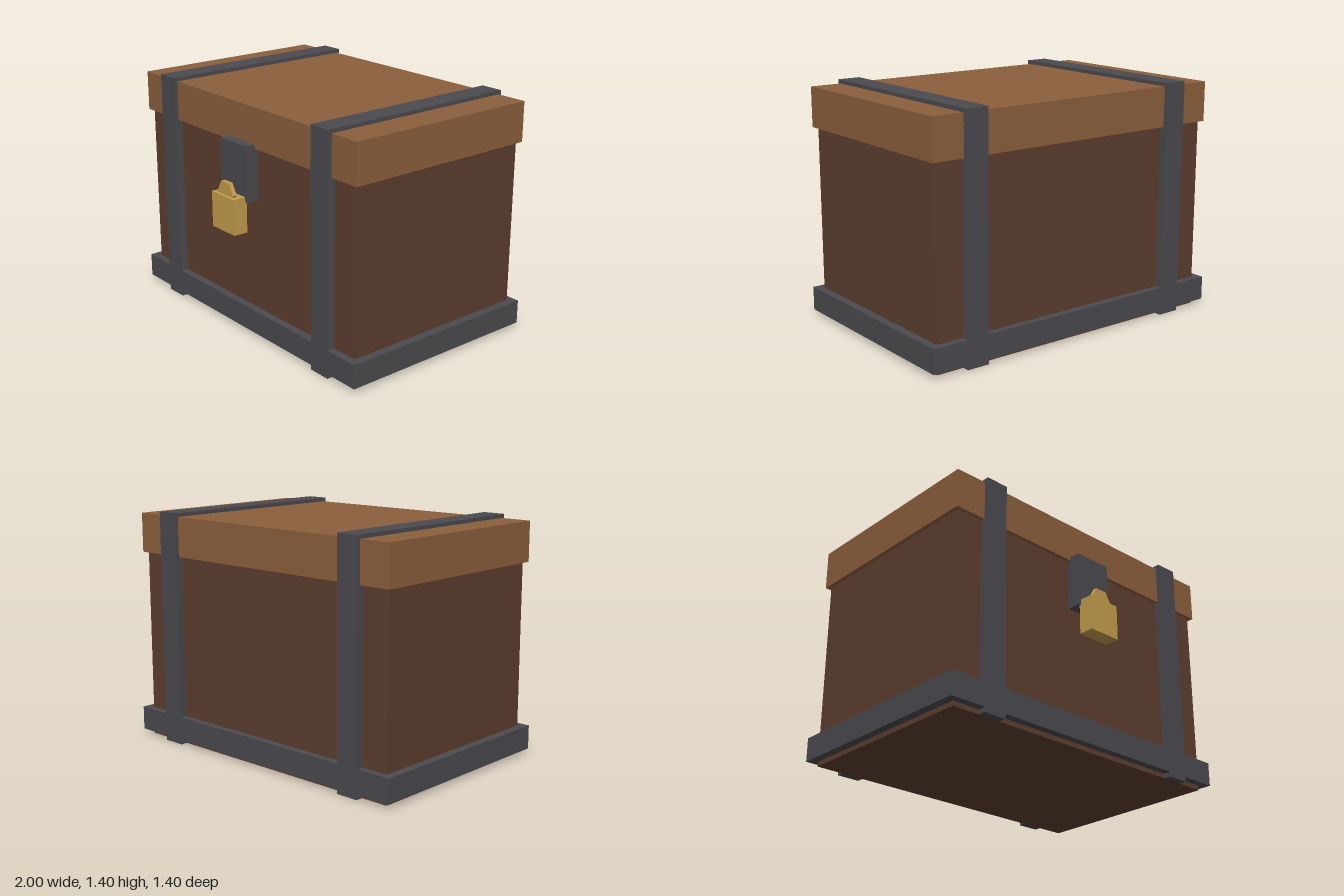
import * as THREE from 'three';

const material = (name, color) => {
  const m = new THREE.MeshStandardMaterial({ color });
  m.name = name;
  return m;
};

export function createModel() {
  const darkWood = material('dark wood', 0x5c3d2e);
  const lightWood = material('light wood', 0x8b5e3c);
  const iron = material('iron', 0x4a4a4f);
  const brass = material('brass', 0xc29b4c);

  const chest = new THREE.Group();
  chest.name = 'chest';

  const add = (name, geometry, mat, parent = chest) => {
    const mesh = new THREE.Mesh(geometry, mat);
    mesh.name = name;
    parent.add(mesh);
    return mesh;
  };
  // Box given by its lower and upper corners
  const box = (name, mat, [x0, y0, z0], [x1, y1, z1], parent) => {
    const g = new THREE.BoxGeometry(x1 - x0, y1 - y0, z1 - z0);
    g.translate((x0 + x1) / 2, (y0 + y1) / 2, (z0 + z1) / 2);
    return add(name, g, mat, parent);
  };

  // Wooden body and overhanging lid
  box('body', darkWood, [-0.95, 0, -0.657], [0.95, 1.146, 0.537]);
  box('lid', lightWood, [-0.975, 1.146, -0.68], [0.975, 1.383, 0.56]);

  // Iron band around the base, slightly above the ground
  const back = -0.7, front = 0.584;
  const ring = new THREE.Shape([
    new THREE.Vector2(-1, -front), new THREE.Vector2(1, -front),
    new THREE.Vector2(1, -back), new THREE.Vector2(-1, -back),
  ]);
  ring.holes.push(new THREE.Path([
    new THREE.Vector2(-0.94, -0.527), new THREE.Vector2(-0.94, 0.647),
    new THREE.Vector2(0.94, 0.647), new THREE.Vector2(0.94, -0.527),
  ]));
  const bandGeometry = new THREE.ExtrudeGeometry(ring, { depth: 0.142, bevelEnabled: false });
  bandGeometry.rotateX(-Math.PI / 2).translate(0, 0.028, 0);
  add('baseBand', bandGeometry, iron);

  // Iron straps running up the front, over the lid and down the back
  const arch = new THREE.Shape([
    [-front, 0], [-0.537, 0], [-0.537, 1.36], [0.657, 1.36],
    [0.657, 0], [-back, 0], [-back, 1.405], [-front, 1.405],
  ].map(([x, y]) => new THREE.Vector2(x, y)));
  const strapGeometry = new THREE.ExtrudeGeometry(arch, { depth: 0.14, bevelEnabled: false });
  strapGeometry.rotateY(Math.PI / 2).translate(-0.07, 0, 0);
  for (const [name, side] of [['leftStrap', 1], ['rightStrap', -1]]) {
    add(name, strapGeometry, iron).position.x = side * 0.711;
  }

  // Hasp plate on the front
  box('hasp', iron, [-0.12, 0.838, 0.53], [0.12, 1.168, 0.62]);

  // Padlock with a six-sided shackle sunk into its top
  const padlock = new THREE.Group();
  padlock.name = 'padlock';
  chest.add(padlock);
  box('padlockBody', brass, [-0.105, 0.658, 0.61], [0.105, 0.87, 0.7], padlock);
  const shackle = new THREE.CylinderGeometry(0.075, 0.075, 0.025, 6).toNonIndexed();
  shackle.rotateY(Math.PI / 2).rotateX(Math.PI / 2);
  shackle.computeVertexNormals();
  add('shackle', shackle, brass, padlock).position.set(0, 0.88, 0.668);

  return chest;
}
